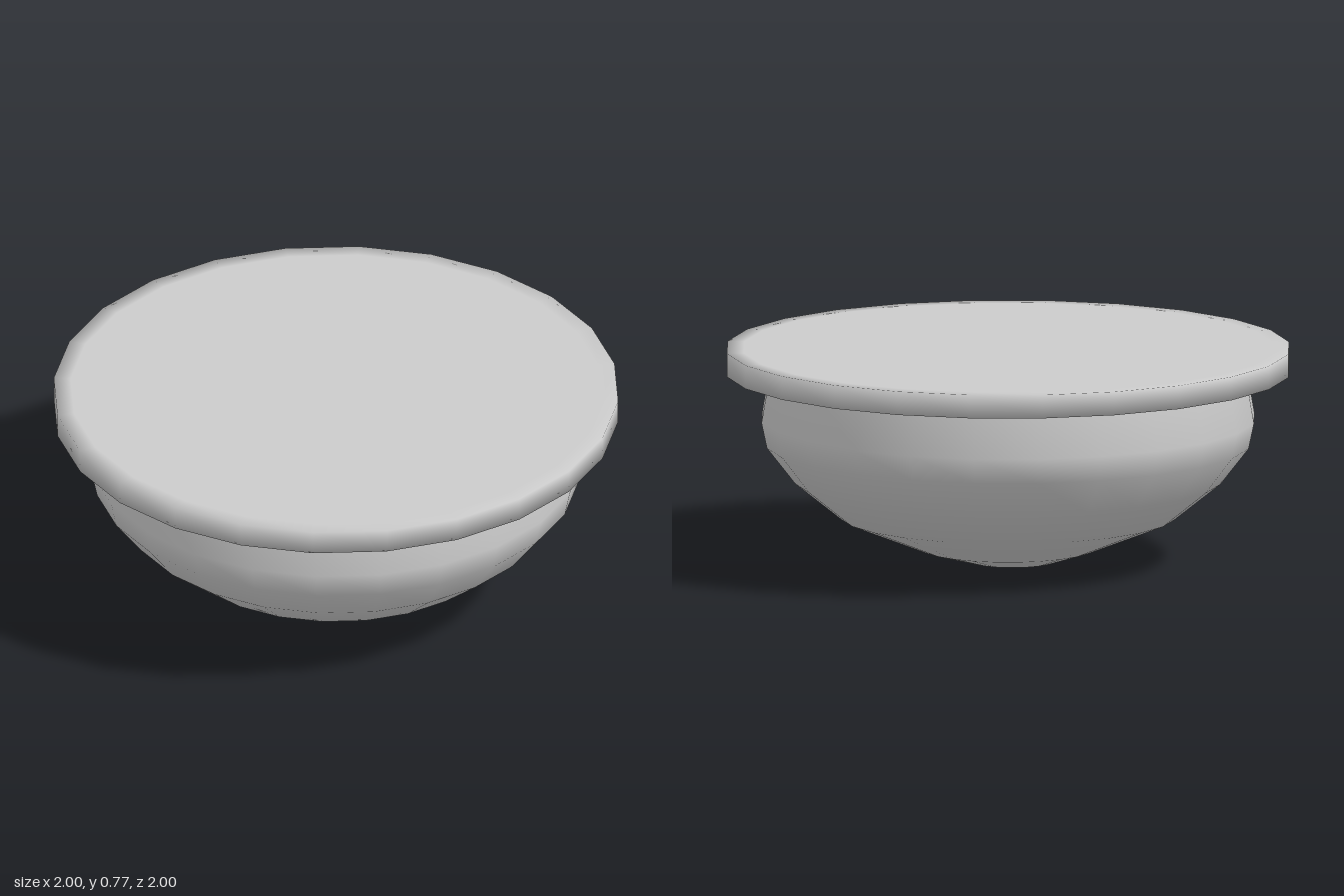
import * as THREE from 'three';

const SIDES = 24;

// Turns a bottom-to-top [radius, height] profile into a smooth round part
function turned(name, profile) {
  const points = profile.map(([r, y]) => new THREE.Vector2(r, y));
  const material = new THREE.MeshStandardMaterial({ color: 0xcccccc });
  const mesh = new THREE.Mesh(new THREE.LatheGeometry(points, SIDES), material);
  mesh.name = name;
  return mesh;
}

export function createModel() {
  const model = new THREE.Group();
  model.name = 'coveredBowl';

  // Rounded bowl with a small foot, drawn in slightly below the lid
  const bowl = turned('bowl', [
    [0, 0], [0.155, 0.005], [0.31, 0.055], [0.595, 0.17], [0.757, 0.3],
    [0.858, 0.43], [0.877, 0.52], [0.848, 0.69],
  ]);
  // The foot sits a little off centre
  const position = bowl.geometry.attributes.position;
  for (let i = 0; i < position.count; i++) {
    if (position.getY(i) > 0.01) continue;
    position.setX(i, position.getX(i) - 0.025);
    position.setZ(i, position.getZ(i) + 0.02);
  }

  // Flat disc lid, overhanging the bowl
  const lid = turned('lid', [
    [0, 0.688], [0.84, 0.688], [1, 0.688], [1, 0.772], [0.94, 0.772], [0, 0.772],
  ]);

  model.add(bowl, lid);
  return model;
}
